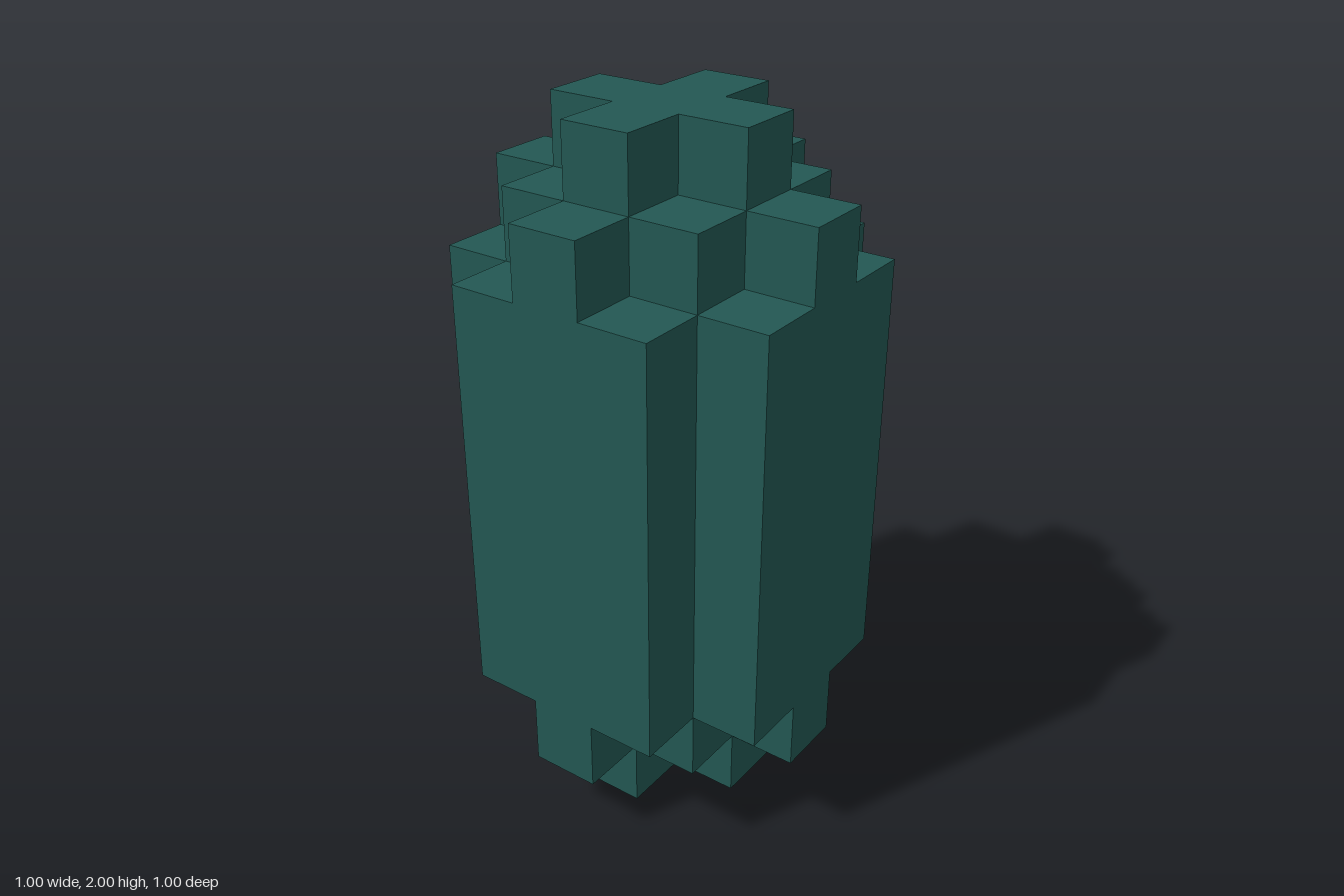
import * as THREE from 'three';

// Quarter outlines as [x, z], running from the +x side to the +z side
const PLUS = [[0.3, 0.1], [0.1, 0.1], [0.1, 0.3]];
const STEPPED = [[0.5, 0.1], [0.3, 0.1], [0.3, 0.3], [0.1, 0.3], [0.1, 0.5]];
const FULL = [[0.5, 0.3], [0.3, 0.3], [0.3, 0.5]];

// Turn a quarter outline through four right angles to close the shape
function outline(quarter) {
  const points = [];
  for (let i = 0; i < 4; i++) {
    for (const [x, z] of quarter) {
      let p = [x, z];
      for (let k = 0; k < i; k++) p = [-p[1], p[0]];
      points.push(new THREE.Vector2(p[0], p[1]));
    }
  }
  return new THREE.Shape(points);
}

export function createModel() {
  const model = new THREE.Group();
  model.name = 'blockCapsule';
  const teal = new THREE.MeshStandardMaterial({ color: 0x235853 });
  teal.name = 'darkTeal';

  function addLayer(name, quarter, bottom, top) {
    const geometry = new THREE.ExtrudeGeometry(outline(quarter), { depth: top - bottom, bevelEnabled: false });
    geometry.rotateX(-Math.PI / 2);
    const mesh = new THREE.Mesh(geometry, teal);
    mesh.name = name;
    mesh.position.y = bottom;
    model.add(mesh);
  }

  // Stacked layers: cap, shoulder, body, shoulder, cap
  addLayer('bottomCap', PLUS, 0, 0.2);
  addLayer('bottomShoulder', STEPPED, 0.2, 0.4);
  addLayer('body', FULL, 0.4, 1.6);
  addLayer('topShoulder', STEPPED, 1.6, 1.8);
  addLayer('topCap', PLUS, 1.8, 2);
  return model;
}
